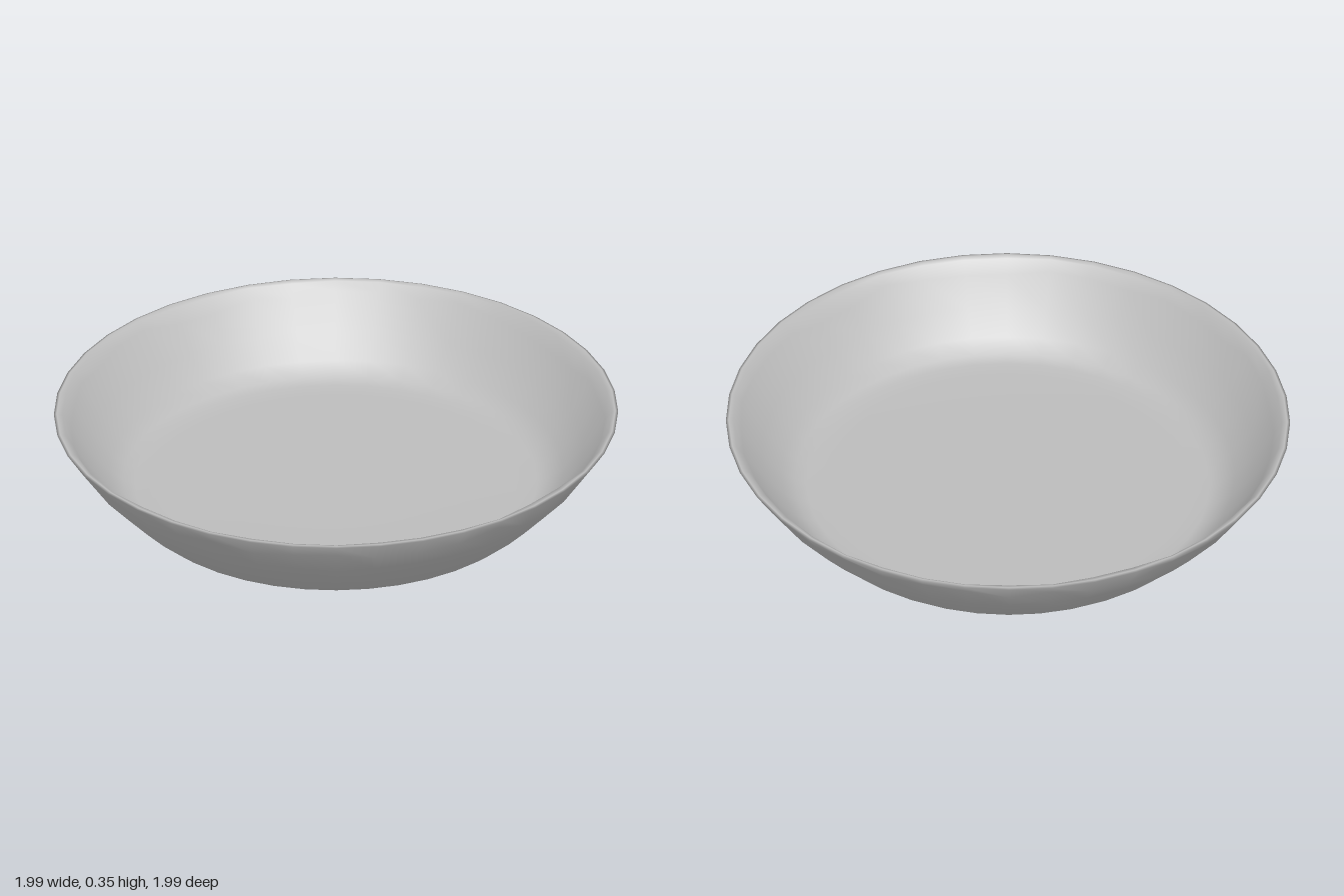
import * as THREE from 'three';
import { mergeVertices } from 'three/addons/utils/BufferGeometryUtils.js';

const SIDES = 40;

// Small seeded generator for the hand-made unevenness of the rim
function seeded(seed) {
  return () => (seed = (seed * 16807) % 2147483647) / 2147483647;
}

// Radius, height and optional height / radius wobble of each ring
const PROFILE = [
  // underside with a low boss in the middle
  [0, 0.012], [0.15, 0.01], [0.19, 0.008], [0.23, 0.024], [0.4, 0.018], [0.62, 0.01],
  // foot and outer wall
  [0.68, 0.008], [0.71, 0.02], [0.75, 0.052], [0.82, 0.12], [0.9, 0.205], [0.955, 0.283, 0.045],
  // lip
  [0.995, 0.343], [0.985, 0.346], [0.968, 0.342, 0, 0.008],
  // inner wall and floor
  [0.94, 0.3, 0.02], [0.87, 0.2], [0.8, 0.118], [0.75, 0.08], [0.71, 0.068], [0.64, 0.065], [0.3, 0.064], [0, 0.064],
];

function bowlGeometry() {
  const points = PROFILE.map(([r, y]) => new THREE.Vector2(r, y));
  const geometry = new THREE.LatheGeometry(points, SIDES);
  const random = seeded(4711);
  const wobble = Array.from({ length: SIDES }, () => random() * 2 - 1);
  const position = geometry.attributes.position;
  const rings = PROFILE.length;

  for (let i = 0; i < position.count; i++) {
    const [r, , lift = 0, swell = 0] = PROFILE[i % rings];
    const w = wobble[Math.floor(i / rings) % SIDES];
    // slide uneven rings along the sloping wall
    const scale = r ? 1 + (w * (lift * 0.66 + swell)) / r : 1;
    const x = position.getX(i) * scale;
    const z = position.getZ(i) * scale;
    // the whole bowl leans very slightly to one side
    position.setXYZ(i, x, position.getY(i) + w * lift + 0.009 * x, z);
  }

  // weld the seam so that the shading runs smoothly all the way round
  geometry.deleteAttribute('uv');
  geometry.deleteAttribute('normal');
  const welded = mergeVertices(geometry, 1e-4);
  welded.computeVertexNormals();
  return welded;
}

export function createModel() {
  const model = new THREE.Group();
  model.name = 'shallowBowl';

  const grey = new THREE.MeshStandardMaterial({ color: 0xbcbcbc });
  grey.name = 'plain grey';

  const bowl = new THREE.Mesh(bowlGeometry(), grey);
  bowl.name = 'bowl';
  model.add(bowl);
  return model;
}
